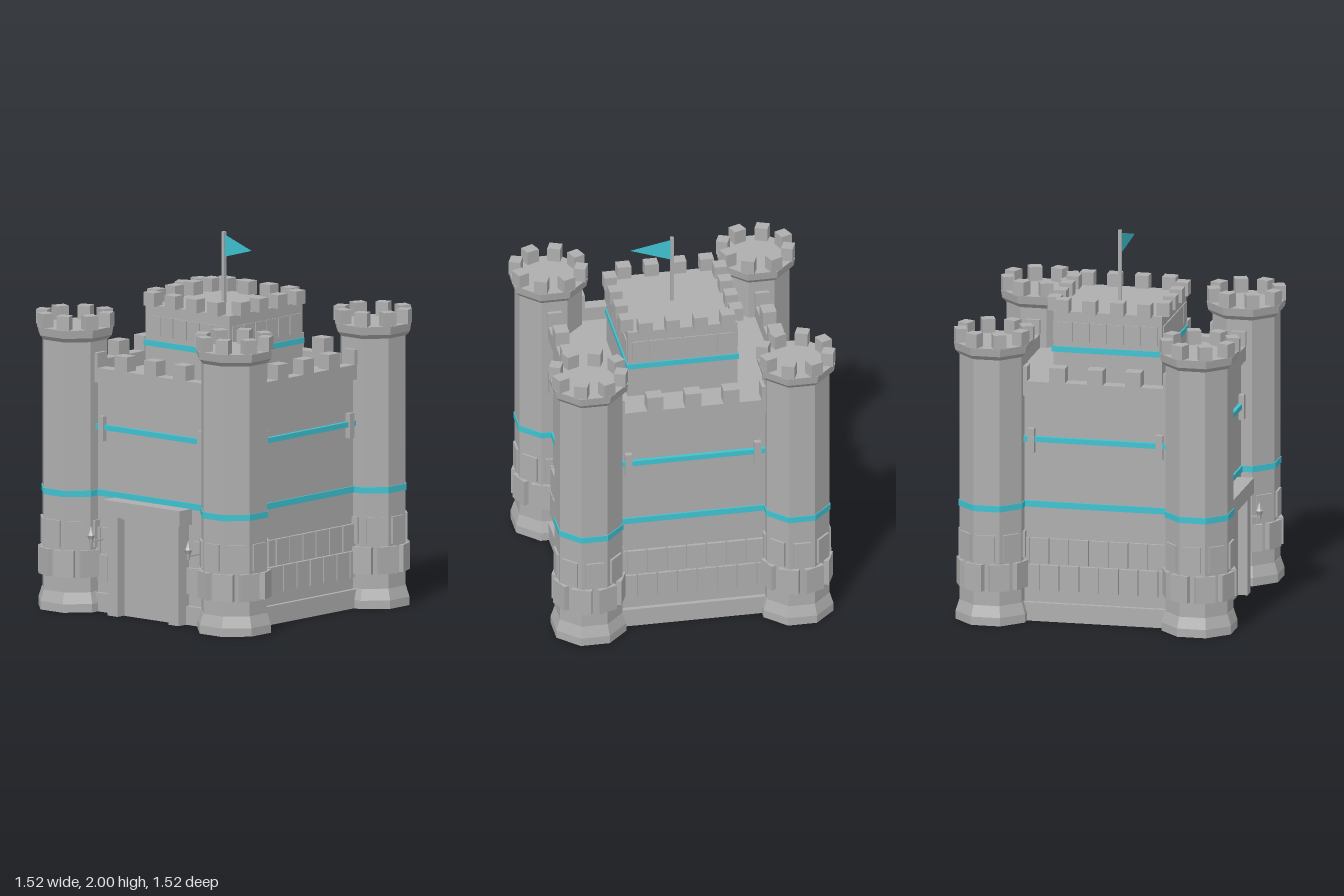
import * as THREE from 'three';

export function createModel() {
  const castle = new THREE.Group();
  castle.name = 'castle';
  const stone = new THREE.MeshStandardMaterial({ color: 0xaeaeae, flatShading: true });
  stone.name = 'stone grey';
  const teal = new THREE.MeshStandardMaterial({ color: 0x3fc3d1, flatShading: true });
  teal.name = 'teal trim';
  const cloth = teal.clone();
  cloth.name = 'teal cloth';
  cloth.side = THREE.DoubleSide;

  const add = (parent, name, geo, mat, x = 0, y = 0, z = 0) => {
    const m = new THREE.Mesh(geo, mat);
    m.name = name;
    m.position.set(x, y, z);
    parent.add(m);
    return m;
  };
  const group = (parent, name) => {
    const g = new THREE.Group();
    g.name = name;
    parent.add(g);
    return g;
  };
  // Box given by its bottom height y0 and top height y1
  const box = (parent, name, w, y0, y1, d, x = 0, z = 0, mat = stone) =>
    add(parent, name, new THREE.BoxGeometry(w, y1 - y0, d), mat, x, (y0 + y1) / 2, z);
  // Octagonal drum with flats on the axes; radii are measured to the flats
  const drum = (parent, name, rTop, rBottom, y0, y1, mat = stone) => {
    const k = 1 / Math.cos(Math.PI / 8);
    const geo = new THREE.CylinderGeometry(rTop * k, rBottom * k, y1 - y0, 8);
    geo.rotateY(Math.PI / 8);
    return add(parent, name, geo, mat, 0, (y0 + y1) / 2, 0);
  };
  // Seeded variation for the stone courses
  let seed = 7;
  const rand = () => (seed = (seed * 16807) % 2147483647) / 2147483647;
  // One row of stone slabs along x, facing +z, clipped to the half width
  const course = (parent, name, half, pitch, offset, y0, y1, z, keep = () => true) => {
    for (let x = offset - 10 * pitch; x < half; x += pitch) {
      const a = Math.max(x + 0.004, -half), b = Math.min(x + pitch - 0.004, half);
      if (b - a < 0.02 || !keep((a + b) / 2)) continue;
      const slab = box(parent, name, b - a, y0, y1, 0.024, (a + b) / 2, z);
      slab.rotation.y = (rand() - 0.5) * 0.08;
    }
  };

  // Main walls
  box(castle, 'wallBody', 1.13, 0, 1.23, 1.13);
  box(castle, 'plinth', 1.18, 0, 0.1, 1.18);
  box(castle, 'wallBand', 1.15, 0.617, 0.65, 1.15, 0, 0, teal);
  for (let i = 0; i < 4; i++) {
    const side = group(castle, 'wallSide');
    side.rotation.y = i * Math.PI / 2;
    box(side, 'parapet', 1.0, 1.225, 1.305, 0.07, 0, 0.557);
    for (let k = -2; k <= 2; k++)
      box(side, 'wallMerlon', 0.085, 1.305, 1.385, 0.075, k * 0.205, 0.557);
    box(side, 'wallRail', 0.8, 0.975, 1.003, 0.024, 0, 0.574, teal);
    for (const s of [-1, 1]) box(side, 'railBracket', 0.036, 0.915, 1.048, 0.04, s * 0.347, 0.575);
    // The gate wall has slabs only beside the gate
    const keep = i === 0 ? (x) => Math.abs(x) > 0.26 : undefined;
    course(side, 'lowerWallSlab', 0.375, 0.107, 0.02, 0.165, 0.305, 0.574, keep);
    course(side, 'upperWallSlab', 0.4, 0.107, -0.035, 0.31, 0.45, 0.57, keep);
  }

  // Corner towers
  for (const sx of [-1, 1]) for (const sz of [-1, 1]) {
    const tower = group(castle, 'cornerTower');
    tower.position.set(sx * 0.557, 0, sz * 0.557);
    drum(tower, 'towerBody', 0.168, 0.168, 0.05, 1.47);
    drum(tower, 'towerFoot', 0.188, 0.188, 0, 0.045);
    drum(tower, 'towerFootSlope', 0.17, 0.188, 0.045, 0.105);
    drum(tower, 'towerBand', 0.173, 0.173, 0.617, 0.65, teal);
    drum(tower, 'towerCrownFlare', 0.19, 0.17, 1.445, 1.468);
    drum(tower, 'towerCrown', 0.197, 0.19, 1.468, 1.512);
    for (let k = 0; k < 8; k++) {
      const face = group(tower, 'towerFace');
      face.rotation.y = k * Math.PI / 4;
      box(face, 'upperTowerSlab', 0.095, 0.345, 0.488, 0.02, 0, 0.17);
      const corner = group(tower, 'towerCorner');
      corner.rotation.y = (k + 0.5) * Math.PI / 4;
      box(corner, 'lowerTowerSlab', 0.108, 0.185, 0.33, 0.03, 0, 0.174);
      box(corner, 'towerMerlon', 0.07, 1.51, 1.587, 0.063, 0, 0.175);
    }
  }

  // Inner keep
  const keepTower = group(castle, 'keep');
  box(keepTower, 'keepBody', 0.588, 1.225, 1.618, 0.588);
  box(keepTower, 'keepBand', 0.602, 1.397, 1.427, 0.602, 0, 0, teal);
  const spots = [-0.24, -0.093, 0.057, 0.204];
  for (let i = 0; i < 4; i++) {
    const side = group(keepTower, 'keepSide');
    side.rotation.y = i * Math.PI / 2;
    course(side, 'keepSlab', 0.275, 0.092, 0, 1.455, 1.56, 0.288);
  }
  for (const p of spots) for (const s of [-1, 1]) {
    box(keepTower, 'keepMerlon', 0.074, 1.615, 1.688, 0.068, p, s * 0.296);
    box(keepTower, 'keepMerlon', 0.068, 1.615, 1.688, 0.074, s * 0.296, p);
  }

  // Flagpole and pennant
  box(castle, 'flagpole', 0.018, 1.61, 2, 0.018);
  const flag = new THREE.BufferGeometry();
  flag.setAttribute('position', new THREE.Float32BufferAttribute(
    [0.005, 1.865, 0, 0.22, 1.925, 0.03, 0.005, 1.985, 0], 3));
  flag.computeVertexNormals();
  add(castle, 'flag', flag, cloth);

  // Gate
  const gate = group(castle, 'gate');
  box(gate, 'door', 0.345, 0, 0.515, 0.03, 0, 0.585);
  box(gate, 'doorHead', 0.36, 0.52, 0.54, 0.06, 0, 0.59);
  box(gate, 'lintel', 0.535, 0.535, 0.62, 0.11, 0, 0.608);
  for (const s of [-1, 1]) {
    box(gate, 'gatePost', 0.07, 0, 0.54, 0.09, s * 0.214, 0.605);
    // Torch beside the gate
    const torch = group(castle, 'torch');
    torch.position.set(s * 0.34, 0, 0.677);
    add(torch, 'torchHandle', new THREE.CylinderGeometry(0.013, 0.008, 0.035, 6), stone, 0, 0.388, 0);
    add(torch, 'torchCup', new THREE.CylinderGeometry(0.023, 0.012, 0.022, 6), stone, 0, 0.412, 0);
    add(torch, 'torchFlameLow', new THREE.ConeGeometry(0.021, 0.035, 6), stone, 0, 0.437, 0);
    add(torch, 'torchFlameTip', new THREE.ConeGeometry(0.014, 0.035, 6), stone, 0, 0.456, 0);
    box(torch, 'torchBracket', 0.008, 0.385, 0.393, 0.1, 0, -0.05);
  }
  return castle;
}
